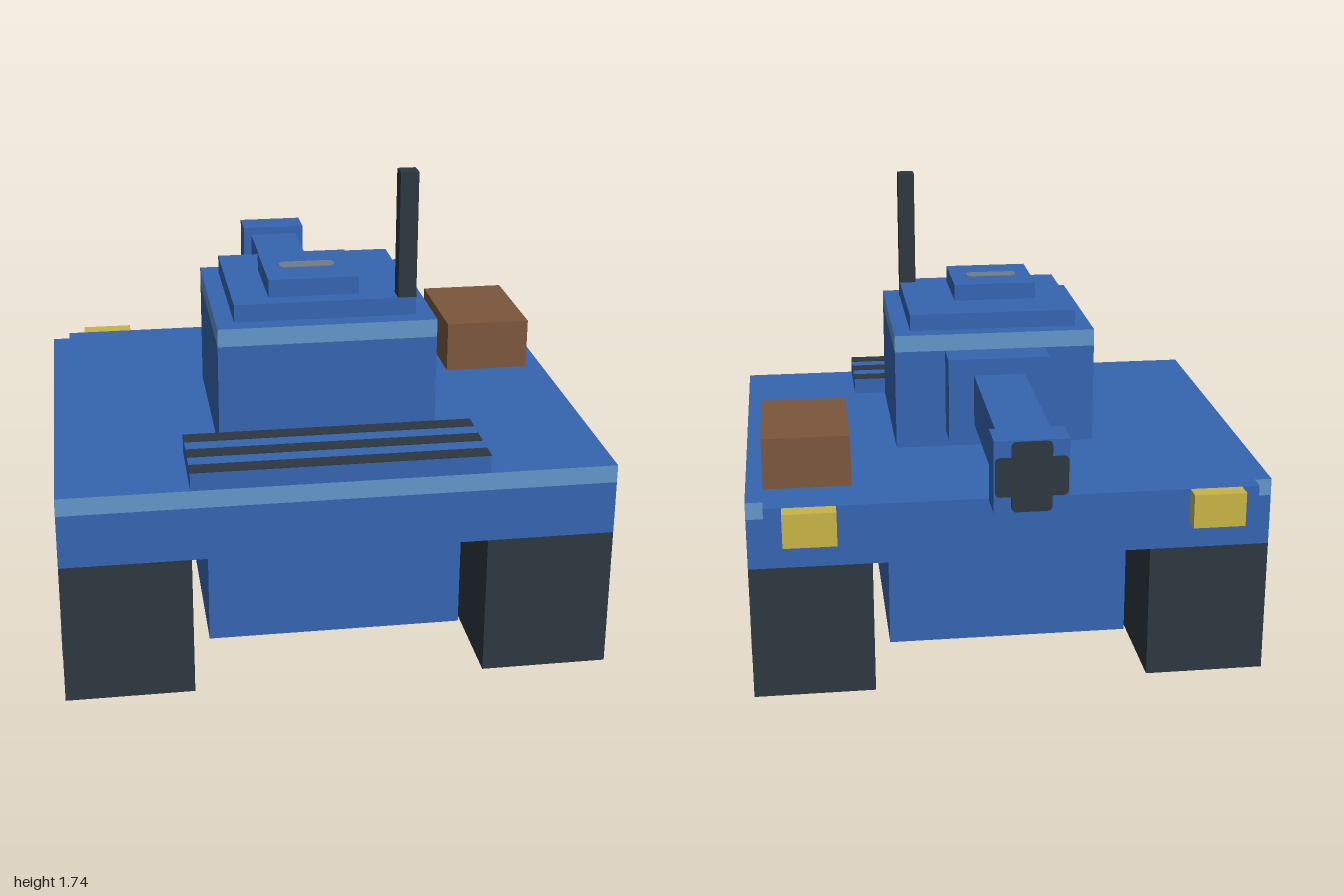
import * as THREE from 'three';

const U = 2 / 31; // one block of the model's grid

function material(name, color) {
  const m = new THREE.MeshStandardMaterial({ color });
  m.name = name;
  return m;
}

export function createModel() {
  const model = new THREE.Group();
  model.name = 'blockTank';
  const blue = material('armourBlue', 0x3565b0);
  const light = material('trimLightBlue', 0x6096c8);
  const dark = material('darkSteel', 0x2d3640);
  const grey = material('wheelGrey', 0x737b85);
  const brown = material('crateBrown', 0x7b563c);
  const gold = material('lampGold', 0xc8b445);

  // Box between two corners, measured in grid blocks
  function block(name, mat, x0, x1, y0, y1, z0, z1) {
    const geo = new THREE.BoxGeometry((x1 - x0) * U, (y1 - y0) * U, (z1 - z0) * U);
    const mesh = new THREE.Mesh(geo, mat);
    mesh.name = name;
    mesh.position.set((x0 + x1) / 2 * U, (y0 + y1) / 2 * U, (z0 + z1) / 2 * U);
    model.add(mesh);
    return mesh;
  }

  // Thin rounded plate, lying in its local xy plane and facing local +z
  function plate(name, mat, w, h, r) {
    const s = new THREE.Shape();
    const a = w / 2, b = h / 2;
    s.moveTo(-a + r, -b);
    s.lineTo(a - r, -b);
    s.quadraticCurveTo(a, -b, a, -b + r);
    s.lineTo(a, b - r);
    s.quadraticCurveTo(a, b, a - r, b);
    s.lineTo(-a + r, b);
    s.quadraticCurveTo(-a, b, -a, b - r);
    s.lineTo(-a, -b + r);
    s.quadraticCurveTo(-a, -b, -a + r, -b);
    const geo = new THREE.ExtrudeGeometry(s, { depth: 0.003, bevelEnabled: false, curveSegments: 5 });
    const mesh = new THREE.Mesh(geo, mat);
    mesh.name = name;
    model.add(mesh);
    return mesh;
  }

  const trim = [light, light, blue, blue, light, light]; // light sides, blue top

  // Tracks with painted wheels, and headlights
  for (const [side, s] of [['left', 1], ['right', -1]]) {
    const span = (a, b) => (s > 0 ? [a, b] : [-b, -a]);
    block(side + 'Track', dark, ...span(8, 15), 0, 8, -8.5, 15.5);
    for (let i = 0; i < 5; i++) {
      const wheel = plate(side + 'Wheel' + (i + 1), grey, 0.14, 0.14, 0.05);
      wheel.position.set(s * 15 * U, 0.195, 0.87 - i * 0.322);
      wheel.rotation.y = s * Math.PI / 2;
    }
    block(side + 'Headlight', gold, ...span(10, 13), 10, 12, -10.5, -9.5);
  }

  // Hull
  block('belly', blue, -7, 7, 2, 8, -6.5, 13.5);
  block('hull', blue, -15, 15, 8, 11, -8.5, 15.5);
  block('hullTrim', trim, -15, 15, 11, 12, -8.5, 15.5);
  block('nosePlate', blue, -14, 14, 9, 12, -9.5, -8.5);

  // Engine deck with dark grille bars
  block('engineDeck', blue, -8, 8, 12, 13, 10.5, 15.5);
  for (let i = 0; i < 3; i++) {
    block('grilleBar' + (i + 1), dark, -8, 8, 13, 13.04, 10.5 + 2 * i, 11.5 + 2 * i);
  }

  // Turret, roof, hatch and aerial
  block('turret', blue, -6, 6, 12, 18, -0.5, 10.5);
  block('turretTrim', trim, -6, 6, 18, 19, -0.5, 10.5);
  block('turretRoof', blue, -5, 5, 19, 20, 0.5, 9.5);
  block('hatch', blue, -3, 2, 20, 21, 3.5, 8.5);
  block('aerial', dark, 4, 5, 19, 27, 8.5, 9.5);
  const handle = plate('hatchHandle', grey, 0.2, 0.062, 0.025);
  handle.position.set(-0.035, 21 * U, 0.384);
  handle.rotation.x = -Math.PI / 2;

  // Gun with a dark cross-shaped bore
  block('mantlet', blue, -3, 3, 13, 18, -2.5, -0.5);
  block('gunBarrel', blue, -1.5, 1.5, 14, 17, -13.5, -2.5);
  block('muzzle', blue, -2, 2, 13.5, 17.5, -15.5, -13.5);
  for (const [w, h] of [[0.25, 0.14], [0.14, 0.25]]) {
    const bore = plate('muzzleBore', dark, w, h, 0.02);
    bore.position.set(0, 15.5 * U, -15.5 * U + (w > h ? 0.001 : 0.0005));
    bore.rotation.y = Math.PI;
  }

  // Stowage crate with clasp
  block('crate', brown, 9, 14, 12, 15, -6.5, 0.5);
  const clasp = plate('crateClasp', gold, 0.13, 0.062, 0.02);
  clasp.position.set(14 * U, 13.55 * U, -0.16);
  clasp.rotation.y = Math.PI / 2;

  return model;
}
